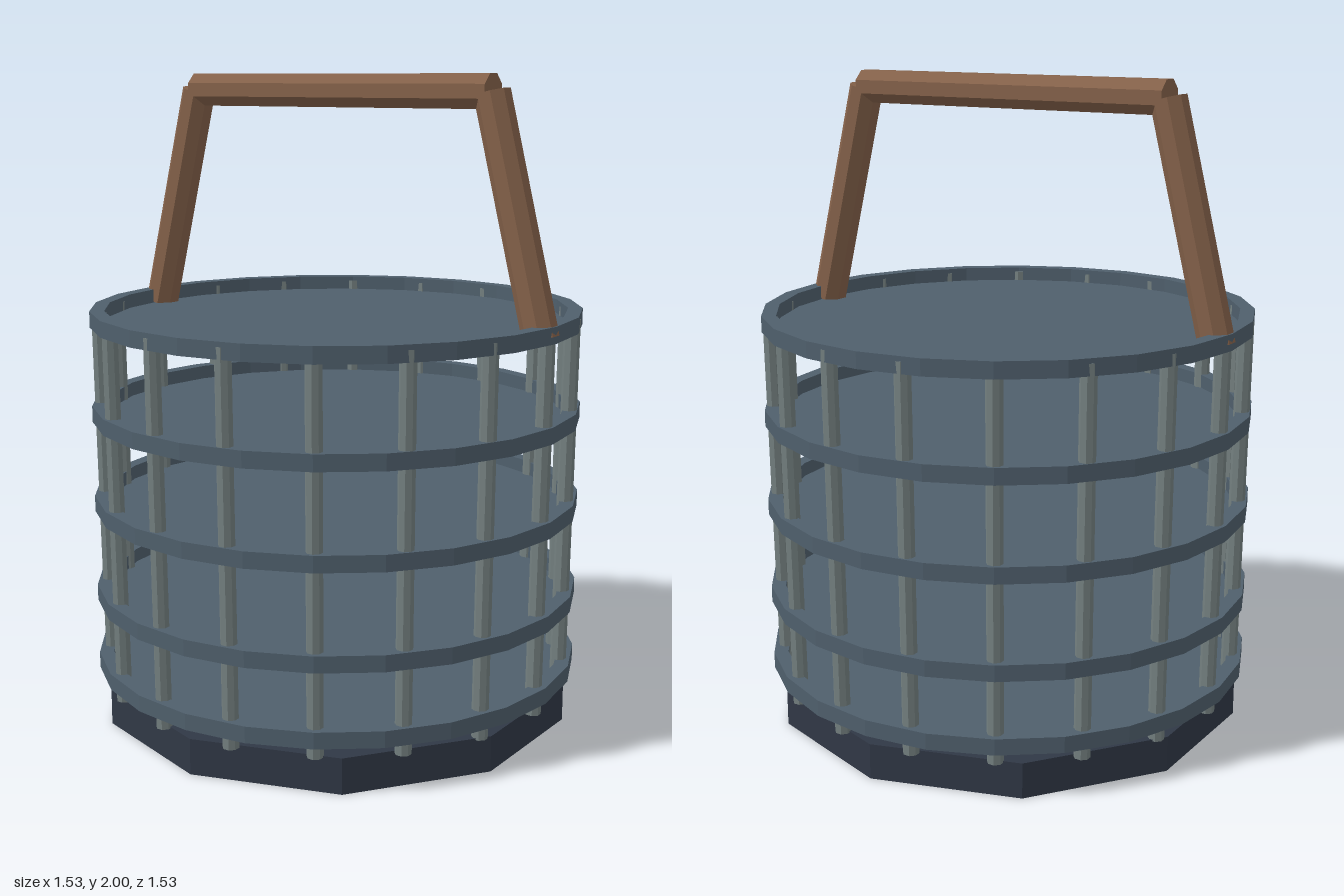
import * as THREE from 'three';

const flat = (color, name) => {
  const m = new THREE.MeshStandardMaterial({ color, flatShading: true });
  m.name = name;
  return m;
};

// Straight rod between two points, with flats rather than corners facing outward
function rod(a, b, radius, sides, material, name) {
  const dir = b.clone().sub(a);
  const geo = new THREE.CylinderGeometry(radius, radius, dir.length(), sides);
  geo.rotateY(Math.PI / sides);
  const mesh = new THREE.Mesh(geo, material);
  mesh.position.copy(a).add(b).multiplyScalar(0.5);
  mesh.quaternion.setFromUnitVectors(new THREE.Vector3(0, 1, 0), dir.normalize());
  mesh.name = name;
  return mesh;
}

export function createModel() {
  const model = new THREE.Group();
  model.name = 'basket';
  const steel = flat(0x4f5f6c, 'blue grey steel');
  const barMetal = flat(0x748080, 'pale grey metal');
  const baseMetal = flat(0x303846, 'dark navy');
  const wood = flat(0x85624a, 'brown wood');

  // Ten-sided base
  const base = new THREE.Mesh(new THREE.CylinderGeometry(0.745, 0.745, 0.11, 10), baseMetal);
  base.position.y = 0.055;
  base.name = 'base';
  model.add(base);

  // Hoops: shallow trays with a raised rim
  const H = 0.05, R = 0.765, INNER = 0.72, FLOOR = 0.006;
  const profile = [[0, 0], [R, 0], [R, H], [INNER, H], [INNER, FLOOR], [0, FLOOR]]
    .map(([x, y]) => new THREE.Vector2(x, y));
  const hoopGeo = new THREE.LatheGeometry(profile, 24);
  for (const y of [0.145, 0.37, 0.66, 0.945, 1.24]) {
    const hoop = new THREE.Mesh(hoopGeo, steel);
    hoop.position.y = y;
    hoop.name = 'hoop';
    model.add(hoop);
  }

  // Upright bars, leaning slightly outward
  const bars = new THREE.Group();
  bars.name = 'bars';
  for (let i = 0; i < 18; i++) {
    const a = (i / 18) * Math.PI * 2;
    const at = (r, y) => new THREE.Vector3(Math.cos(a) * r, y, Math.sin(a) * r);
    bars.add(rod(at(0.722, 0.105), at(0.737, 1.275), 0.025, 8, barMetal, 'bar'));
  }
  model.add(bars);

  // Handle: two sloping legs and a crossbar
  const handle = new THREE.Group();
  handle.name = 'handle';
  const HR = 0.0545;
  for (const s of [-1, 1]) {
    handle.add(rod(new THREE.Vector3(s * 0.717, 1.25, 0), new THREE.Vector3(s * 0.541, 1.948, 0),
      HR, 8, wood, 'handleLeg'));
  }
  handle.add(rod(new THREE.Vector3(-0.545, 1.95, 0), new THREE.Vector3(0.545, 1.95, 0),
    HR, 8, wood, 'handleGrip'));
  model.add(handle);

  return model;
}
